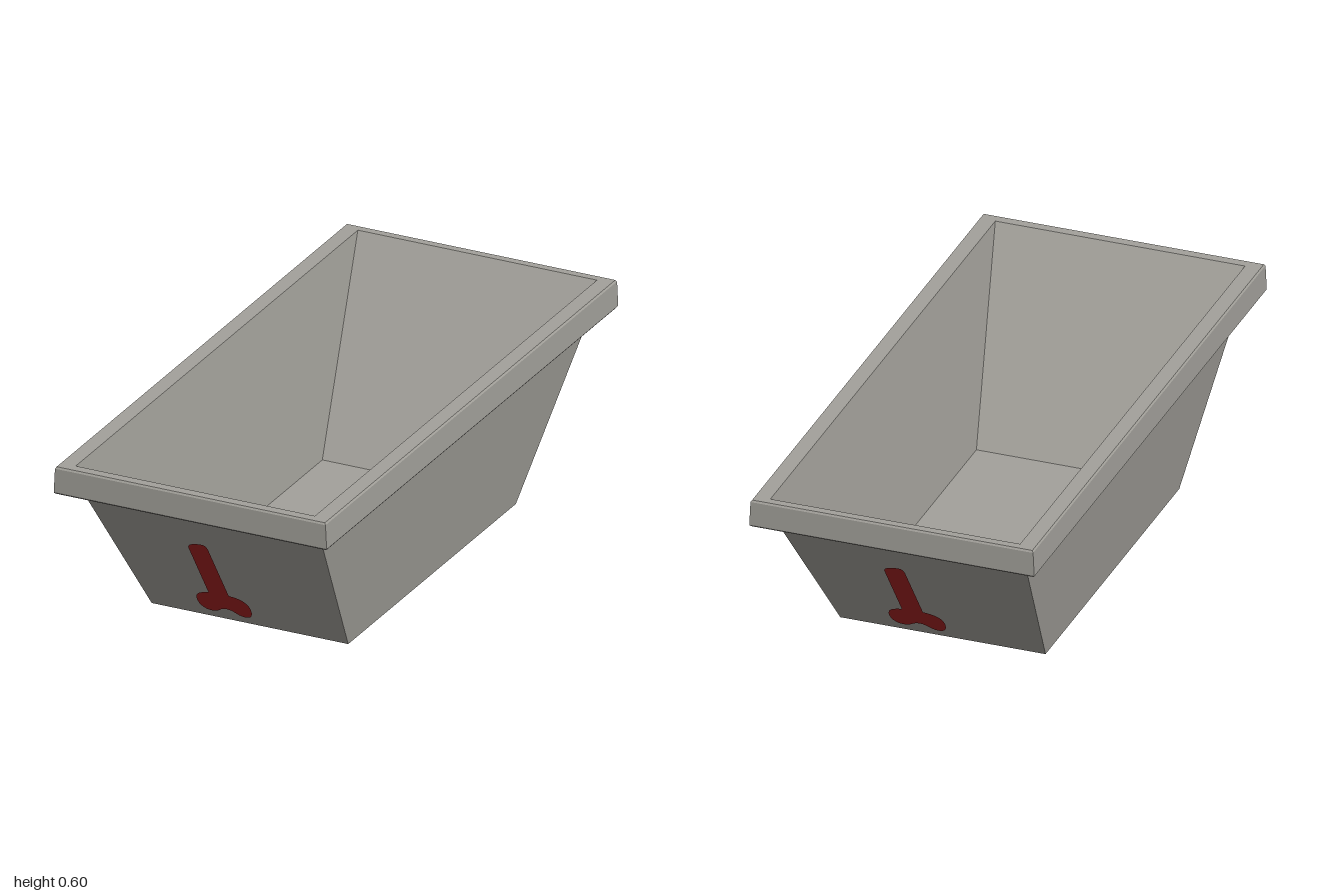
import * as THREE from 'three';

const metal = new THREE.MeshStandardMaterial({ color: 0xa3a19b });
metal.name = 'worn grey';
const paint = new THREE.MeshStandardMaterial({ color: 0xa32323 });
paint.name = 'dark red paint';

// Rectangular ring: half width, back z, front z, height
const ring = (w, back, front, y) => [[-w, y, front], [w, y, front], [w, y, back], [-w, y, back]];

// Flat-faced loft through rectangular rings, with optional caps facing down and up
function loft(rings, capStart, capEnd) {
  const pos = [];
  const quad = (a, b, c, d) => pos.push(...a, ...b, ...c, ...a, ...c, ...d);
  for (let r = 0; r < rings.length - 1; r++) {
    for (let i = 0; i < 4; i++) {
      const j = (i + 1) % 4;
      quad(rings[r][i], rings[r][j], rings[r + 1][j], rings[r + 1][i]);
    }
  }
  if (capStart) quad(...[...rings[0]].reverse());
  if (capEnd) quad(...rings[rings.length - 1]);
  const geo = new THREE.BufferGeometry();
  geo.setAttribute('position', new THREE.Float32BufferAttribute(pos, 3));
  geo.computeVertexNormals();
  return geo;
}

function add(group, name, geo, material) {
  const mesh = new THREE.Mesh(geo, material);
  mesh.name = name;
  group.add(mesh);
  return mesh;
}

// Painted mark laid on a sloping end wall: z = base + slope * y
function paintMark(base, slope) {
  const s = new THREE.Shape();
  s.moveTo(-0.1, 0.12);
  s.lineTo(-0.1, 0.33);
  s.bezierCurveTo(-0.095, 0.35, -0.06, 0.357, -0.04, 0.355);
  s.quadraticCurveTo(-0.03, 0.35, -0.03, 0.33);
  s.lineTo(-0.03, 0.122);
  s.bezierCurveTo(0.0, 0.12, 0.03, 0.11, 0.03, 0.075);
  s.bezierCurveTo(0.03, 0.02, -0.015, 0.025, -0.03, 0.04);
  s.quadraticCurveTo(-0.06, 0.065, -0.09, 0.04);
  s.bezierCurveTo(-0.115, 0.022, -0.155, 0.03, -0.155, 0.07);
  s.bezierCurveTo(-0.155, 0.11, -0.12, 0.115, -0.1, 0.12);
  const geo = new THREE.ShapeGeometry(s, 8);
  const p = geo.attributes.position;
  for (let i = 0; i < p.count; i++) p.setZ(i, base + slope * p.getY(i) + 0.005);
  geo.computeVertexNormals();
  return geo;
}

export function createModel() {
  const group = new THREE.Group();
  group.name = 'skip';

  // Tapered outside walls and base
  add(group, 'outerBody', loft([
    ring(0.337, -0.56, 0.59, 0),
    ring(0.411, -0.93, 0.93, 0.512),
  ], true, false), metal);

  // Overhanging rim with slightly eased edges
  add(group, 'rim', loft([
    ring(0.411, -0.93, 0.93, 0.512),
    ring(0.464, -0.995, 0.995, 0.51),
    ring(0.468, -1, 1, 0.515),
    ring(0.464, -1, 1, 0.596),
    ring(0.46, -0.996, 0.996, 0.602),
    ring(0.41, -0.97, 0.965, 0.602),
  ], false, false), metal);

  // Inside walls and floor
  add(group, 'innerBody', loft([
    ring(0.41, -0.97, 0.965, 0.602),
    ring(0.327, -0.56, 0.585, 0.012),
  ], false, true), metal);

  // Painted marks on both ends
  add(group, 'frontPaintMark', paintMark(0.59, 0.664), paint);
  add(group, 'backPaintMark', paintMark(0.56, 0.723), paint).rotation.y = Math.PI;

  return group;
}
